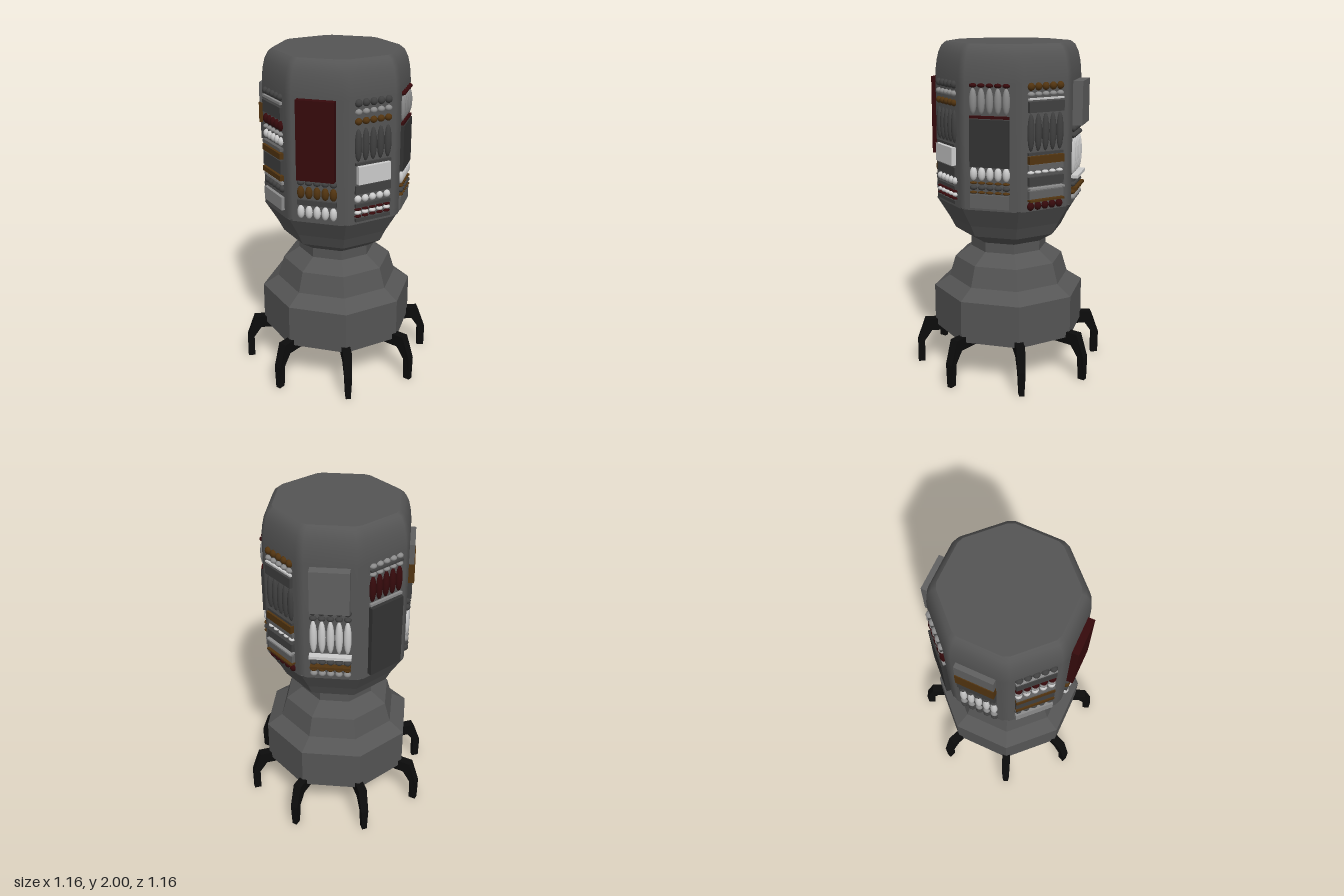
import * as THREE from 'three';
import { mergeVertices } from 'three/addons/utils/BufferGeometryUtils.js';

const mat = (color, flatShading = false) => new THREE.MeshStandardMaterial({ color, flatShading });
const paint = {
  white: mat(0xcccccc), light: mat(0x8a8a8a), grey: mat(0x606060), dark: mat(0x404040),
  black: mat(0x333333), red: mat(0x360a0c), gold: mat(0x523410),
};
const hull = mat(0x555555, true), hullSmooth = mat(0x555555), legMat = mat(0x0c0c0c, true);
const APOTHEM = 0.41;
const v2 = (pairs) => pairs.map(([x, y]) => new THREE.Vector2(x, y));

function mesh(name, geometry, material) {
  const m = new THREE.Mesh(geometry, material);
  m.name = name;
  return m;
}

// Octagonal loft with narrow chamfered corners; profile is [apothem, y]
function chamferedOctagon(profile) {
  const g = new THREE.LatheGeometry(v2(profile), 16);
  const p = g.attributes.position;
  for (let i = 0; i <= 16; i++) {
    const deg = Math.floor(i / 2) * 45 + (i % 2 ? 3 : -3);
    const a = THREE.MathUtils.degToRad(deg);
    profile.forEach(([ap, y], j) => {
      const r = ap / Math.cos(THREE.MathUtils.degToRad(19.5));
      p.setXYZ(i * profile.length + j, Math.sin(a) * r, y, Math.cos(a) * r);
    });
  }
  g.deleteAttribute('normal');
  g.deleteAttribute('uv');
  const merged = mergeVertices(g, 1e-4);
  merged.computeVertexNormals();
  return merged;
}

// Leg: side profile given thickness, narrowing toward the foot
function legGeometry() {
  const shape = new THREE.Shape(v2([
    [0, 0.21], [0.49, 0.21], [0.537, 0.14], [0.537, 0], [0.58, 0],
    [0.58, 0.145], [0.53, 0.285], [0.44, 0.285], [0.4, 0.25], [0, 0.25],
  ]));
  const g = new THREE.ExtrudeGeometry(shape, { depth: 1, bevelEnabled: false });
  g.translate(0, 0, -0.5);
  const p = g.attributes.position;
  for (let i = 0; i < p.count; i++) {
    p.setZ(i, p.getZ(i) * (0.03 + 0.022 * Math.min(1, p.getY(i) / 0.21)));
  }
  g.computeVertexNormals();
  return g;
}

const beadGeo = new THREE.SphereGeometry(1, 12, 8);
const boxGeo = new THREE.BoxGeometry(1, 1, 1);

// Wall panel: rows of [kind, paint, top, bottom, depth, width], on the facet facing `deg`
function panel(name, deg, rows) {
  const g = new THREE.Group();
  g.name = name;
  for (const [kind, color, top, bottom, depth = 0.016, width = 0.23] of rows) {
    const h = top - bottom, y = (top + bottom) / 2;
    if (kind === 'box') {
      const m = mesh(color + 'Block', boxGeo, paint[color]);
      m.scale.set(width, h, depth + 0.02);
      m.position.set(0, y, APOTHEM + depth / 2 - 0.01);
      g.add(m);
    } else {
      for (let i = -2; i <= 2; i++) {
        const m = mesh(color + 'Bead', beadGeo, paint[color]);
        m.scale.set(0.022, h / 2, 0.02);
        m.position.set(i * 0.048, y, APOTHEM + 0.002);
        g.add(m);
      }
    }
  }
  g.rotation.y = THREE.MathUtils.degToRad(deg);
  return g;
}

export function createModel() {
  const model = new THREE.Group();
  model.name = 'station';

  // Stepped base, neck and flare
  model.add(mesh('baseAndNeck', new THREE.LatheGeometry(v2([
    [0, 0.25], [0.465, 0.25], [0.465, 0.505], [0.37, 0.566], [0.333, 0.69], [0.233, 0.755],
    [0.233, 0.815], [0.328, 0.875], [0.365, 0.947], [0.441, 1.07], [0.41, 1.07],
  ]), 8), hull));

  // Upper body with rounded shoulder, and flat roof
  model.add(mesh('upperBody', chamferedOctagon([
    [APOTHEM, 1.065], [APOTHEM, 1.79], [0.408, 1.84], [0.402, 1.89],
    [0.391, 1.94], [0.372, 1.98], [0.348, 2],
  ]), hullSmooth));
  model.add(mesh('roof', chamferedOctagon([[0.348, 2], [0, 2]]), hull));

  // Legs
  const leg = legGeometry();
  for (let i = 0; i < 8; i++) {
    const m = mesh('leg', leg, legMat);
    m.rotation.y = i * Math.PI / 4;
    model.add(m);
  }

  // Wall panels, rows from top to bottom
  model.add(panel('frontRightPanel', -22.5, [
    ['bead', 'dark', 1.795, 1.75], ['bead', 'light', 1.74, 1.705], ['bead', 'gold', 1.69, 1.65],
    ['bead', 'dark', 1.63, 1.44], ['box', 'dark', 1.435, 1.42],
    ['box', 'white', 1.415, 1.31, 0.028, 0.21], ['box', 'dark', 1.3, 1.25],
    ['bead', 'white', 1.24, 1.197], ['box', 'dark', 1.19, 1.17], ['bead', 'red', 1.165, 1.15],
    ['bead', 'white', 1.15, 1.125], ['bead', 'red', 1.123, 1.108], ['box', 'dark', 1.105, 1.085],
  ]));
  model.add(panel('frontLeftPanel', 22.5, [
    ['bead', 'red', 1.79, 1.765], ['bead', 'light', 1.765, 1.615], ['box', 'red', 1.61, 1.595],
    ['box', 'black', 1.59, 1.32, 0.02], ['bead', 'white', 1.32, 1.24],
    ['bead', 'gold', 1.235, 1.22], ['bead', 'dark', 1.215, 1.185], ['bead', 'gold', 1.18, 1.165],
    ['box', 'grey', 1.16, 1.08, 0.012],
  ]));
  model.add(panel('leftFrontPanel', 67.5, [
    ['bead', 'gold', 1.795, 1.75], ['bead', 'light', 1.745, 1.715], ['box', 'white', 1.71, 1.7],
    ['box', 'dark', 1.69, 1.63, 0.02], ['bead', 'dark', 1.625, 1.41], ['box', 'dark', 1.405, 1.39],
    ['box', 'gold', 1.385, 1.34, 0.025], ['box', 'grey', 1.335, 1.305],
    ['bead', 'white', 1.3, 1.28], ['box', 'dark', 1.265, 1.215, 0.022],
    ['box', 'light', 1.205, 1.195, 0.035], ['box', 'grey', 1.185, 1.14, 0.022],
    ['box', 'gold', 1.135, 1.125, 0.035], ['bead', 'red', 1.12, 1.07],
  ]));
  model.add(panel('leftBackPanel', 112.5, [
    ['box', 'grey', 1.785, 1.53, 0.058, 0.22], ['bead', 'dark', 1.53, 1.49],
    ['bead', 'dark', 1.485, 1.455], ['bead', 'white', 1.455, 1.24],
    ['box', 'white', 1.238, 1.22, 0.04, 0.24], ['box', 'dark', 1.215, 1.2],
    ['bead', 'dark', 1.195, 1.165], ['box', 'gold', 1.165, 1.15, 0.035],
    ['bead', 'gold', 1.145, 1.12], ['bead', 'light', 1.12, 1.085],
  ]));
  model.add(panel('backLeftPanel', 157.5, [
    ['bead', 'light', 1.795, 1.765], ['box', 'dark', 1.76, 1.75], ['bead', 'light', 1.745, 1.72],
    ['bead', 'red', 1.72, 1.56], ['box', 'light', 1.555, 1.54], ['box', 'black', 1.53, 1.09, 0.028],
  ]));
  model.add(panel('backRightPanel', 202.5, [
    ['box', 'grey', 1.79, 1.67, 0.03], ['box', 'gold', 1.67, 1.55, 0.035],
    ['box', 'dark', 1.55, 1.45, 0.025], ['bead', 'dark', 1.445, 1.405],
    ['bead', 'dark', 1.4, 1.36], ['bead', 'white', 1.355, 1.19],
    ['bead', 'light', 1.185, 1.145], ['box', 'dark', 1.14, 1.13], ['bead', 'dark', 1.125, 1.08],
  ]));
  model.add(panel('rightBackPanel', 247.5, [
    ['bead', 'dark', 1.795, 1.755], ['box', 'light', 1.75, 1.735], ['box', 'dark', 1.72, 1.65],
    ['bead', 'red', 1.64, 1.58], ['bead', 'light', 1.575, 1.55], ['bead', 'white', 1.545, 1.495],
    ['box', 'grey', 1.485, 1.465, 0.022], ['box', 'gold', 1.455, 1.42, 0.025],
    ['box', 'dark', 1.41, 1.33, 0.02], ['box', 'gold', 1.32, 1.29, 0.025],
    ['box', 'light', 1.28, 1.265], ['bead', 'dark', 1.255, 1.215],
    ['box', 'light', 1.19, 1.11, 0.02],
  ]));
  model.add(panel('rightFrontPanel', 292.5, [
    ['box', 'red', 1.79, 1.33, 0.04, 0.22], ['bead', 'dark', 1.325, 1.29],
    ['bead', 'gold', 1.285, 1.21], ['box', 'dark', 1.205, 1.175], ['bead', 'white', 1.17, 1.09],
  ]));
  return model;
}
